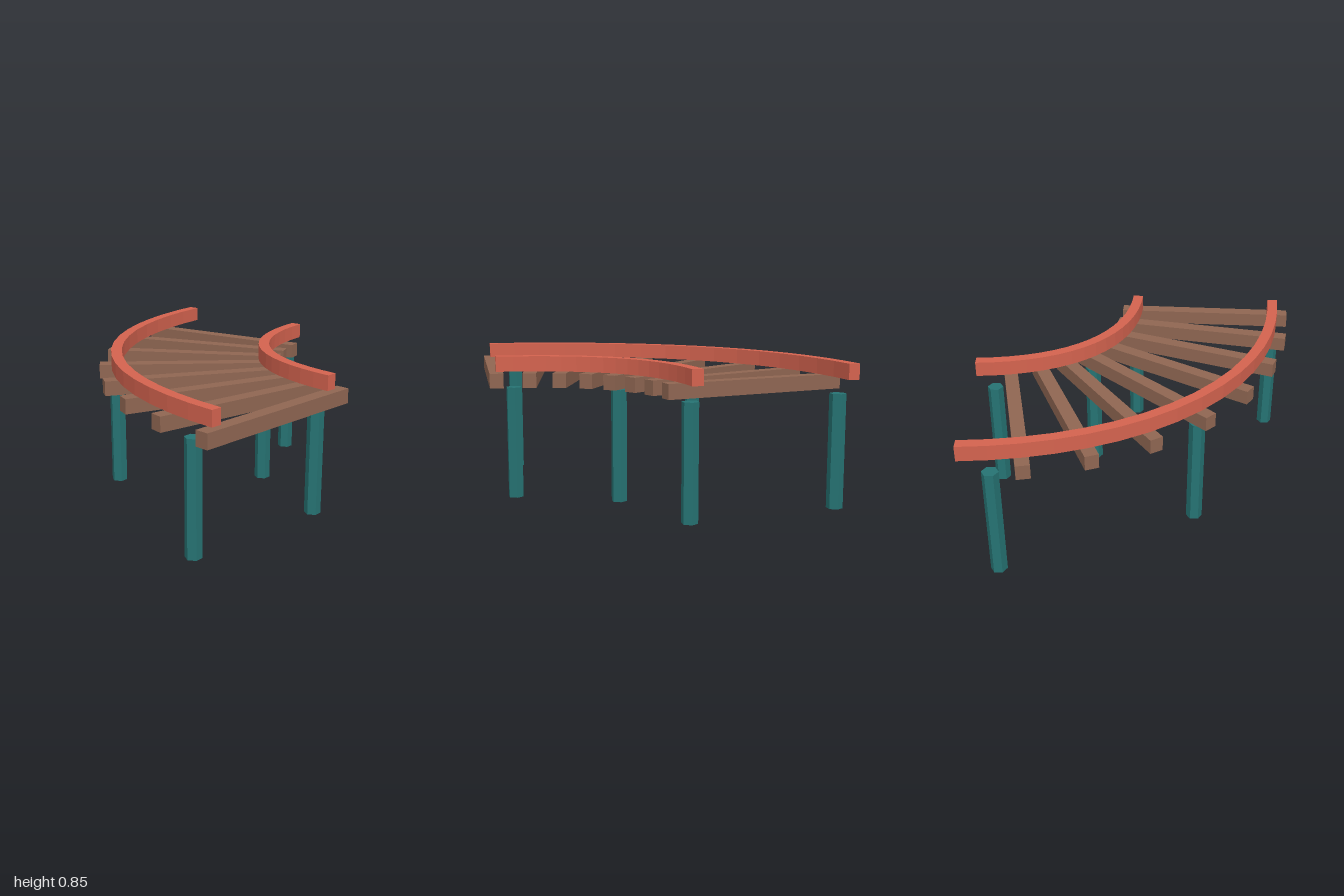
import * as THREE from 'three';

// Centre line of the curved track, seen from above (Vector2 y is world z)
const CENTRE = new THREE.Vector2(1.0, -1.037);
const RADIUS = 1.464, HANDLE = 0.82, ARC_END = 0.05;
const HALF_GAUGE = 0.456;

function makePath() {
  const spot = (t) => new THREE.Vector2(-Math.cos(t), Math.sin(t)).multiplyScalar(RADIUS).add(CENTRE);
  const dir = (t) => new THREE.Vector2(Math.sin(t), Math.cos(t)).multiplyScalar(HANDLE);
  const t0 = ARC_END, t1 = Math.PI / 2 - ARC_END;
  const a = spot(t0), d = spot(t1);
  return new THREE.CubicBezierCurve(a, a.clone().add(dir(t0)), d.clone().sub(dir(t1)), d);
}

// Point on the track and its outward normal, u = 0..1 by length
function frame(path, u) {
  const p = path.getPointAt(u), t = path.getTangentAt(u);
  return { p, n: new THREE.Vector2(-t.y, t.x) };
}

// Rectangular bar swept along the track at a sideways offset
function railGeometry(path, offset, width, y0, y1, segments) {
  const pos = [], idx = [];
  for (let i = 0; i <= segments; i++) {
    const { p, n } = frame(path, i / segments);
    const corners = [[-width / 2, y0], [width / 2, y0], [width / 2, y1], [-width / 2, y1]];
    for (const [w, y] of corners) pos.push(p.x + n.x * (offset + w), y, p.y + n.y * (offset + w));
    if (i === segments) continue;
    for (let k = 0; k < 4; k++) {
      const a = i * 4 + k, b = i * 4 + (k + 1) % 4;
      idx.push(a, a + 4, b, b, a + 4, b + 4);
    }
  }
  const e = segments * 4;
  idx.push(0, 1, 2, 0, 2, 3, e, e + 2, e + 1, e, e + 3, e + 2);
  const g = new THREE.BufferGeometry();
  g.setAttribute('position', new THREE.Float32BufferAttribute(pos, 3));
  g.setIndex(idx);
  g.computeVertexNormals();
  return g;
}

export function createModel() {
  const model = new THREE.Group();
  model.name = 'curvedTrack';
  const paint = (color) => new THREE.MeshStandardMaterial({ color, flatShading: true });
  const railMat = paint(0xd4634f), woodMat = paint(0x8f6652), postMat = paint(0x267373);
  const path = makePath();

  const add = (name, geometry, material) => {
    const mesh = new THREE.Mesh(geometry, material);
    mesh.name = name;
    model.add(mesh);
    return mesh;
  };

  // Rails
  for (const [name, side] of [['innerRail', -1], ['outerRail', 1]]) {
    add(name, railGeometry(path, side * HALF_GAUGE, 0.065, 0.763, 0.853, 16), railMat);
  }

  // Sleepers, evenly spaced and square to the track
  const sleeper = new THREE.BoxGeometry(1.12, 0.086, 0.08);
  for (let i = 1; i <= 8; i++) {
    const { p, n } = frame(path, i / 8);
    const mesh = add('sleeper' + i, sleeper, woodMat);
    mesh.position.set(p.x, 0.717, p.y);
    mesh.rotation.y = Math.atan2(-n.y, n.x);
  }

  // Six-sided posts in pairs under the rails
  const post = new THREE.CylinderGeometry(0.048, 0.048, 0.668, 6);
  for (const u of [1 / 16, 1 / 2, 15 / 16]) {
    const { p, n } = frame(path, u);
    for (const side of [-1, 1]) {
      const mesh = add(side < 0 ? 'innerPost' : 'outerPost', post, postMat);
      mesh.position.set(p.x + n.x * side * HALF_GAUGE, 0.334, p.y + n.y * side * HALF_GAUGE);
    }
  }
  return model;
}
